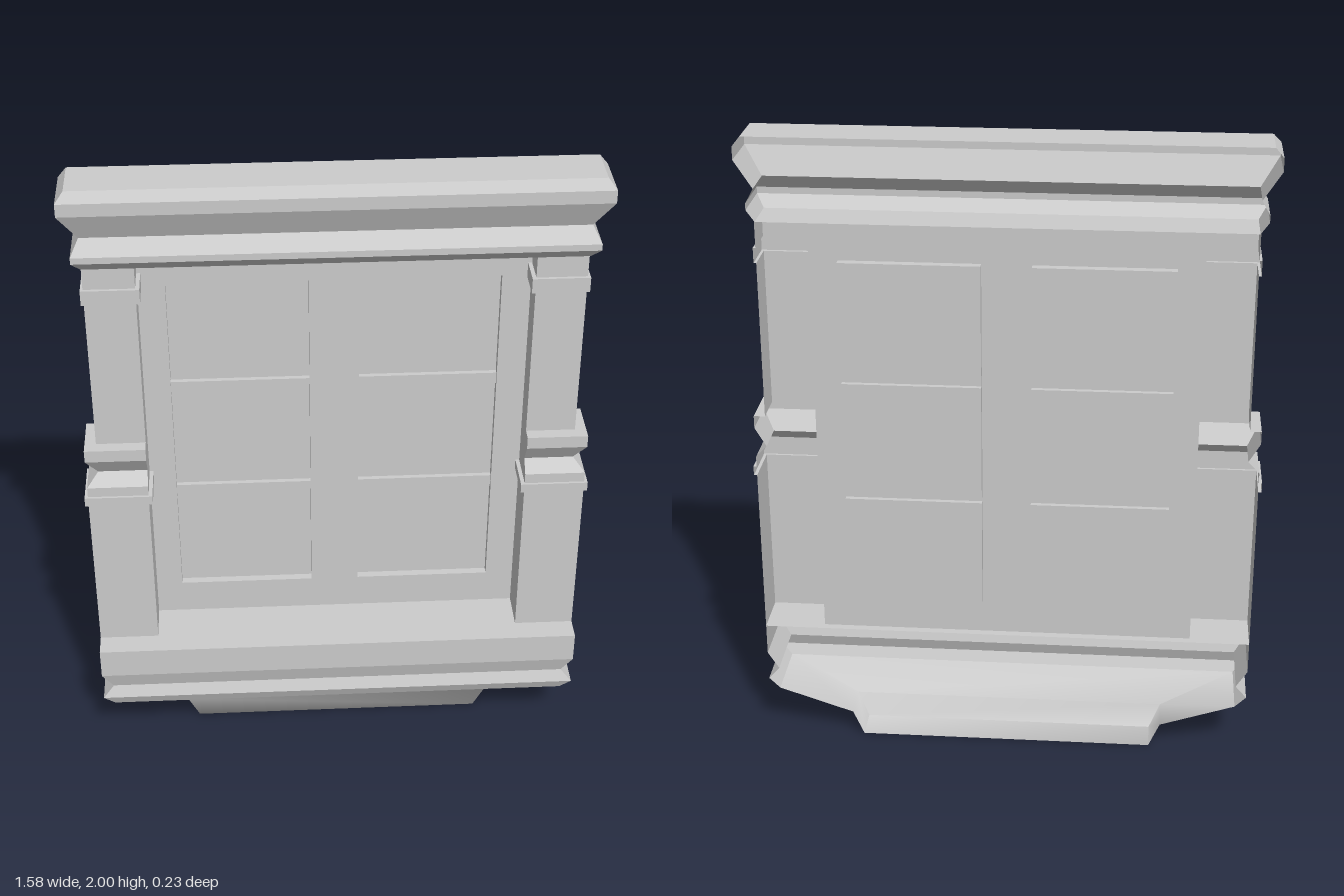
import * as THREE from 'three';
import { toCreasedNormals } from 'three/addons/utils/BufferGeometryUtils.js';

const BACK = -0.115, WALL = -0.09, BAR = -0.1;
const flat = new THREE.MeshStandardMaterial({ color: 0xcccccc, flatShading: true, side: THREE.DoubleSide });
const smooth = new THREE.MeshStandardMaterial({ color: 0xcccccc, side: THREE.DoubleSide });

// Skin over rows of points, skipping triangles without area
function skin(rows) {
  const pos = [];
  const tri = (a, b, c) => {
    const t = new THREE.Triangle(...[a, b, c].map(p => new THREE.Vector3(...p)));
    if (t.getArea() > 1e-7) pos.push(...a, ...b, ...c);
  };
  for (let r = 0; r < rows.length - 1; r++) {
    for (let i = 0; i < rows[r].length - 1; i++) {
      const a = rows[r][i], b = rows[r][i + 1], c = rows[r + 1][i + 1], d = rows[r + 1][i];
      tri(a, d, c);
      tri(a, c, b);
    }
  }
  const geo = new THREE.BufferGeometry();
  geo.setAttribute('position', new THREE.Float32BufferAttribute(pos, 3));
  geo.computeVertexNormals();
  return geo;
}

// Open-backed moulding from [y, half width, front z], top to bottom
const moulding = profile => skin(profile.map(([y, w, z]) =>
  [[-w, y, BACK], [-w, y, z], [w, y, z], [w, y, BACK]]));

function rectPath(x0, x1, y0, y1) {
  return [[x0, y1], [x1, y1], [x1, y0], [x0, y0], [x0, y1]];
}

// Sides of a rectangular recess between two depths
const recess = (x0, x1, y0, y1, zFront, zBack) =>
  skin([zFront, zBack].map(z => rectPath(x0, x1, y0, y1).map(([x, y]) => [x, y, z])));

function add(parent, name, geo, material = flat) {
  const mesh = new THREE.Mesh(geo, material);
  mesh.name = name;
  parent.add(mesh);
  return mesh;
}

function addPlane(parent, name, x0, x1, y0, y1, z) {
  add(parent, name, new THREE.PlaneGeometry(x1 - x0, y1 - y0))
    .position.set((x0 + x1) / 2, (y0 + y1) / 2, z);
}

export function createModel() {
  const model = new THREE.Group();
  model.name = 'windowBay';

  // Cornice
  add(model, 'cornice', moulding([
    [2, 0.765, BACK], [2, 0.765, 0.035], [1.97, 0.79, 0.057], [1.93, 0.79, 0.057],
    [1.845, 0.735, 0.02], [1.8, 0.76, 0.057], [1.78, 0.76, 0.057],
    [1.745, 0.735, 0.024], [1.745, 0.735, BACK],
  ]));

  // Sill and the tapering bracket below it
  add(model, 'sill', moulding([
    [0.39, 0.772, BACK], [0.39, 0.772, 0.115], [0.29, 0.772, 0.115],
    [0.235, 0.737, 0.1], [0.195, 0.772, 0.115], [0.16, 0.737, 0.1],
  ]));
  add(model, 'bracket', toCreasedNormals(moulding([
    [0.16, 0.737, 0.1], [0.08, 0.5, 0.008], [0, 0.465, -0.006], [0, 0.465, BACK],
  ]), 1.4), smooth);

  // Pilasters: [y, inner x, outer x, front z]
  const pilaster = skin([
    [1.745, 0.585, 0.737, 0],
    [1.665, 0.585, 0.737, 0], [1.665, 0.573, 0.745, 0.01],
    [1.618, 0.573, 0.745, 0.01], [1.618, 0.585, 0.737, 0],
    [1.125, 0.585, 0.737, 0], [1.125, 0.585, 0.772, 0.04],
    [1.085, 0.585, 0.772, 0.04], [1.025, 0.585, 0.737, 0.003],
    [0.988, 0.585, 0.772, 0.04], [0.955, 0.585, 0.772, 0.04],
    [0.955, 0.573, 0.782, 0.048], [0.925, 0.573, 0.782, 0.048],
    [0.925, 0.585, 0.772, 0.04], [0.39, 0.585, 0.772, 0.04],
  ].map(([y, i, o, z]) => [[i, y, WALL], [i, y, z], [o, y, z], [o, y, BACK]]));
  add(model, 'leftPilaster', pilaster);
  add(model, 'rightPilaster', pilaster).scale.x = -1;

  // Wall with two window openings
  const windows = [[-0.503, -0.078], [0.073, 0.498]];
  const bottom = 0.503, top = 1.625;
  const toPoints = path => path.map(([x, y]) => new THREE.Vector2(x, y));
  const wall = new THREE.Shape(toPoints(rectPath(-0.585, 0.585, 0.39, 1.745)));
  for (const [x0, x1] of windows) wall.holes.push(new THREE.Path(toPoints(rectPath(x0, x1, bottom, top))));
  add(model, 'wall', new THREE.ShapeGeometry(wall)).position.z = WALL;

  // Windows: three recessed panes parted by two bars
  const panes = [[bottom, 0.855], [0.89, 1.24], [1.277, top]];
  for (const [x0, x1] of windows) {
    const group = new THREE.Group();
    group.name = x0 > 0 ? 'leftWindow' : 'rightWindow';
    add(group, 'windowRim', recess(x0, x1, bottom, top, WALL, BAR));
    panes.forEach(([y0, y1], i) => {
      add(group, 'paneEdge', recess(x0, x1, y0, y1, BAR, BACK));
      addPlane(group, 'pane', x0, x1, y0, y1, BACK);
      if (i < 2) addPlane(group, 'windowBar', x0, x1, y1, panes[i + 1][0], BAR);
    });
    model.add(group);
  }
  return model;
}
